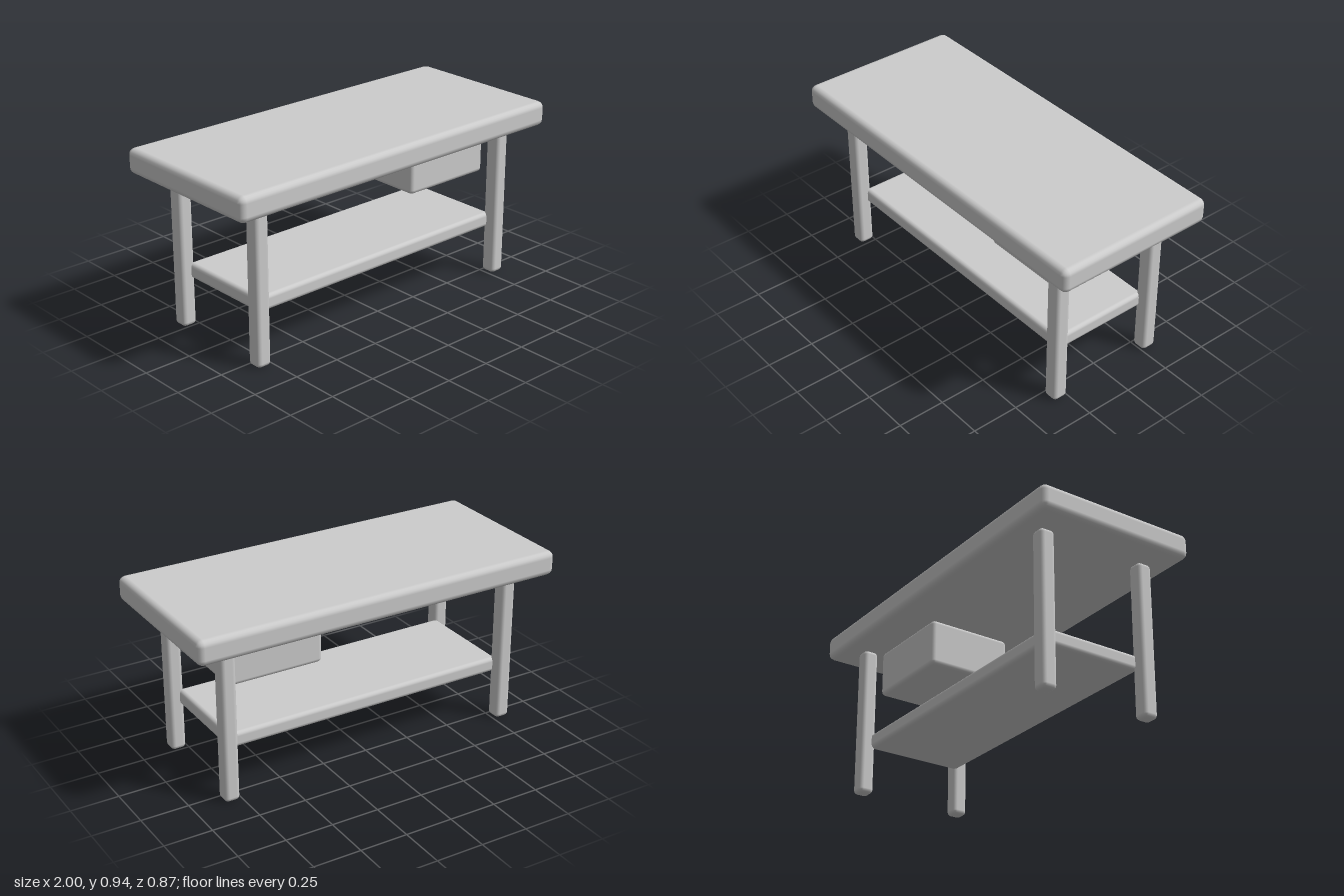
import * as THREE from 'three';
import { RoundedBoxGeometry } from 'three/addons/geometries/RoundedBoxGeometry.js';

export function createModel() {
  const group = new THREE.Group();
  group.name = 'workTable';
  const grey = new THREE.MeshStandardMaterial({ color: 0xcccccc });
  grey.name = 'plain grey';

  // Soft-edged box given by its size and centre
  function addBox(name, [w, h, d], [x, y, z], radius) {
    const mesh = new THREE.Mesh(new RoundedBoxGeometry(w, h, d, 2, radius), grey);
    mesh.name = name;
    mesh.position.set(x, y, z);
    group.add(mesh);
  }

  // Thick top
  addBox('tableTop', [2, 0.13, 0.874], [0, 0.877, 0], 0.033);

  // Four legs
  for (const x of [-1, 1]) {
    for (const z of [-1, 1]) {
      const name = (z > 0 ? 'front' : 'back') + (x > 0 ? 'Left' : 'Right') + 'Leg';
      addBox(name, [0.08, 0.815, 0.082], [x * 0.801, 0.4075, z * 0.292], 0.022);
    }
  }

  // Lower shelf, let into the inner corners of the legs
  addBox('lowerShelf', [1.57, 0.081, 0.55], [0, 0.294, 0], 0.022);

  // Drawer box hanging under the top
  addBox('drawerBox', [0.516, 0.249, 0.466], [0.499, 0.6855, 0], 0.022);

  return group;
}
